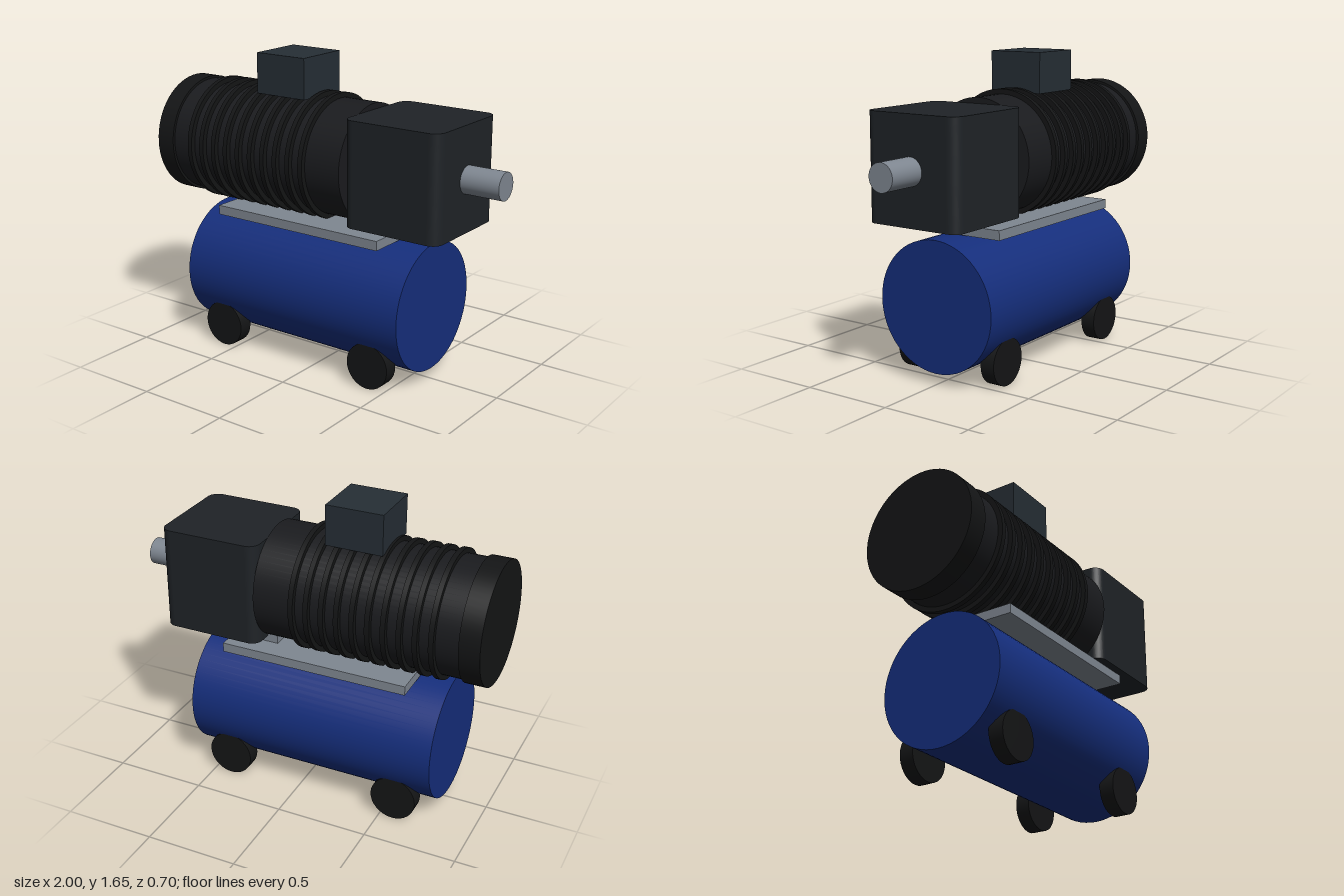
import * as THREE from 'three';

const paint = (color) => new THREE.MeshStandardMaterial({ color });

export function createModel() {
  const model = new THREE.Group();
  const blue = paint(0x152e7c), black = paint(0x1a1b1e), rubber = paint(0x141516);
  const steel = paint(0x7f8791), slate = paint(0x262e35), charcoal = paint(0x1f2327);
  const axisY = 1.125;

  function add(name, geometry, material, x = 0, y = 0, z = 0) {
    const mesh = new THREE.Mesh(geometry, material);
    mesh.name = name;
    mesh.position.set(x, y, z);
    model.add(mesh);
    return mesh;
  }
  // Box given by its limits in x and y and its half depth
  function block(name, material, x0, x1, y0, y1, halfZ) {
    return add(name, new THREE.BoxGeometry(x1 - x0, y1 - y0, halfZ * 2), material, (x0 + x1) / 2, (y0 + y1) / 2);
  }
  // Cylinder lying along x
  function drum(name, material, x0, x1, y, radius) {
    const geometry = new THREE.CylinderGeometry(radius, radius, x1 - x0, 64).rotateZ(-Math.PI / 2);
    return add(name, geometry, material, (x0 + x1) / 2, y);
  }

  // Air tank and its four wheels
  drum('tank', blue, -0.785, 0.605, 0.408, 0.348);
  for (const x of [-0.575, 0.4]) {
    for (const side of [-1, 1]) {
      add('wheel', new THREE.CylinderGeometry(0.125, 0.125, 0.08, 32).rotateX(Math.PI / 2), rubber, x, 0.125, side * 0.265);
    }
  }

  // Mounting plates
  block('basePlate', steel, -0.61, 0.435, 0.757, 0.808, 0.277);
  block('gearboxFoot', steel, 0.17, 0.485, 0.808, 0.855, 0.155);

  // Motor with cooling fins, rear cover and terminal box
  drum('motorBody', black, -0.89, 0.226, axisY, 0.313);
  drum('rearCover', rubber, -1, -0.89, axisY, 0.327);
  for (let i = 0; i < 10; i++) {
    const x = -0.755 + i * 0.0839;
    drum('coolingFin', rubber, x - 0.0135, x + 0.0135, axisY, 0.34);
  }
  block('terminalBox', slate, -0.42, -0.108, 1.437, 1.655, 0.155);

  // Housing with rounded upright edges
  const h = 0.28, r = 0.06;
  const outline = new THREE.Shape();
  outline.absarc(h - r, h - r, r, 0, Math.PI / 2);
  outline.absarc(r - h, h - r, r, Math.PI / 2, Math.PI);
  outline.absarc(r - h, r - h, r, Math.PI, Math.PI * 1.5);
  outline.absarc(h - r, r - h, r, Math.PI * 1.5, Math.PI * 2);
  const housing = new THREE.ExtrudeGeometry(outline, { depth: 0.56, bevelEnabled: false, curveSegments: 10 });
  add('housing', housing.rotateX(-Math.PI / 2), charcoal, 0.506, 0.845);

  // Output shaft
  drum('shaft', steel, 0.78, 1, axisY, 0.073);

  return model;
}
